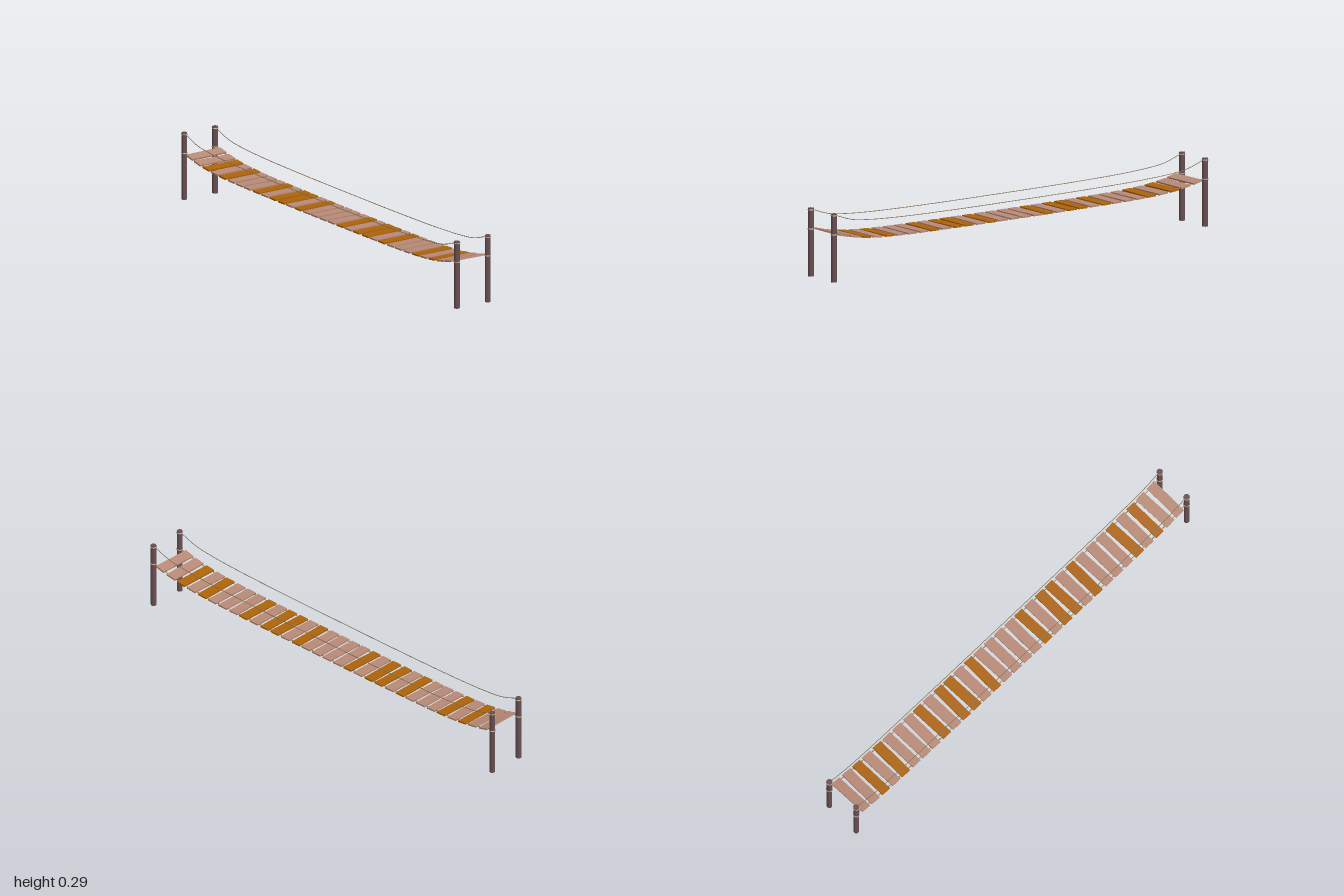
import * as THREE from 'three';

const POST_X = 0.985, POST_Z = 0.08, POST_H = 0.294;
const mat = (color) => new THREE.MeshStandardMaterial({ color, flatShading: true });

// Symmetric sagging curve from (distance, height) pairs, centre to post
function sagCurve(half, z) {
  const left = half.slice(1).reverse().map(([x, y]) => new THREE.Vector3(-x, y, z));
  const right = half.map(([x, y]) => new THREE.Vector3(x, y, z));
  return new THREE.CatmullRomCurve3([...left, ...right]);
}
const DECK = [[0, 0.159], [0.35, 0.16], [0.65, 0.164], [0.8, 0.173], [0.89, 0.186], [0.975, 0.205]];
const RAIL = [[0, 0.233], [0.35, 0.234], [0.65, 0.239], [0.8, 0.247], [0.89, 0.258], [0.975, 0.286]];

export function createModel() {
  const group = new THREE.Group();
  const postMat = mat(0x6a4f53), ropeMat = mat(0x857858), bindingMat = mat(0xb09c88);
  const paleWood = mat(0xb98a77), warmWood = mat(0xae640a);
  const add = (name, geo, material, x = 0, y = 0, z = 0) => {
    const mesh = new THREE.Mesh(geo, material);
    mesh.name = name;
    mesh.position.set(x, y, z);
    group.add(mesh);
    return mesh;
  };

  // Four octagonal posts, each with two rope bindings
  const postGeo = new THREE.CylinderGeometry(0.0125, 0.0125, POST_H, 8).rotateY(Math.PI / 8);
  const ringGeo = new THREE.TorusGeometry(0.0122, 0.0027, 6, 16).rotateX(Math.PI / 2);
  for (const sx of [-1, 1]) for (const sz of [-1, 1]) {
    add('post', postGeo, postMat, sx * POST_X, POST_H / 2, sz * POST_Z);
    for (const y of [0.204, 0.286]) add('ropeBinding', ringGeo, bindingMat, sx * POST_X, y, sz * POST_Z);
  }

  // Hand ropes and deck ropes on both sides
  for (const sz of [-1, 1]) {
    add('handRope', new THREE.TubeGeometry(sagCurve(RAIL, sz * POST_Z), 64, 0.0016, 5), ropeMat);
    add('deckRope', new THREE.TubeGeometry(sagCurve(DECK, sz * POST_Z), 64, 0.0018, 5), ropeMat);
  }

  // Planks following the deck curve, mirrored about the middle
  const samples = sagCurve(DECK, 0).getPoints(400);
  const heightAt = (x) => {
    const i = Math.max(1, samples.findIndex((p) => p.x >= x));
    const a = samples[i - 1], b = samples[i];
    return a.y + (b.y - a.y) * (x - a.x) / (b.x - a.x);
  };
  const warm = new Set([2, 4, 8, 10, 11, 13]);
  const count = 32, pitch = 0.0605;
  for (let i = 0; i < count; i++) {
    const k = Math.min(i, count - 1 - i), side = i < count / 2 ? 1 : -1;
    const x = (i - (count - 1) / 2) * pitch;
    const slope = (heightAt(x + 0.015) - heightAt(x - 0.015)) / 0.03;
    const geo = new THREE.BoxGeometry(0.046 + 0.002 * Math.sin(k * 2.3), 0.007, 0.18);
    const plank = add('plank', geo, warm.has(k) ? warmWood : paleWood, x, heightAt(x), 0);
    plank.rotation.set(0, side * 0.025 * Math.sin(k * 4.1 + 1), Math.atan(slope));
  }
  return group;
}
